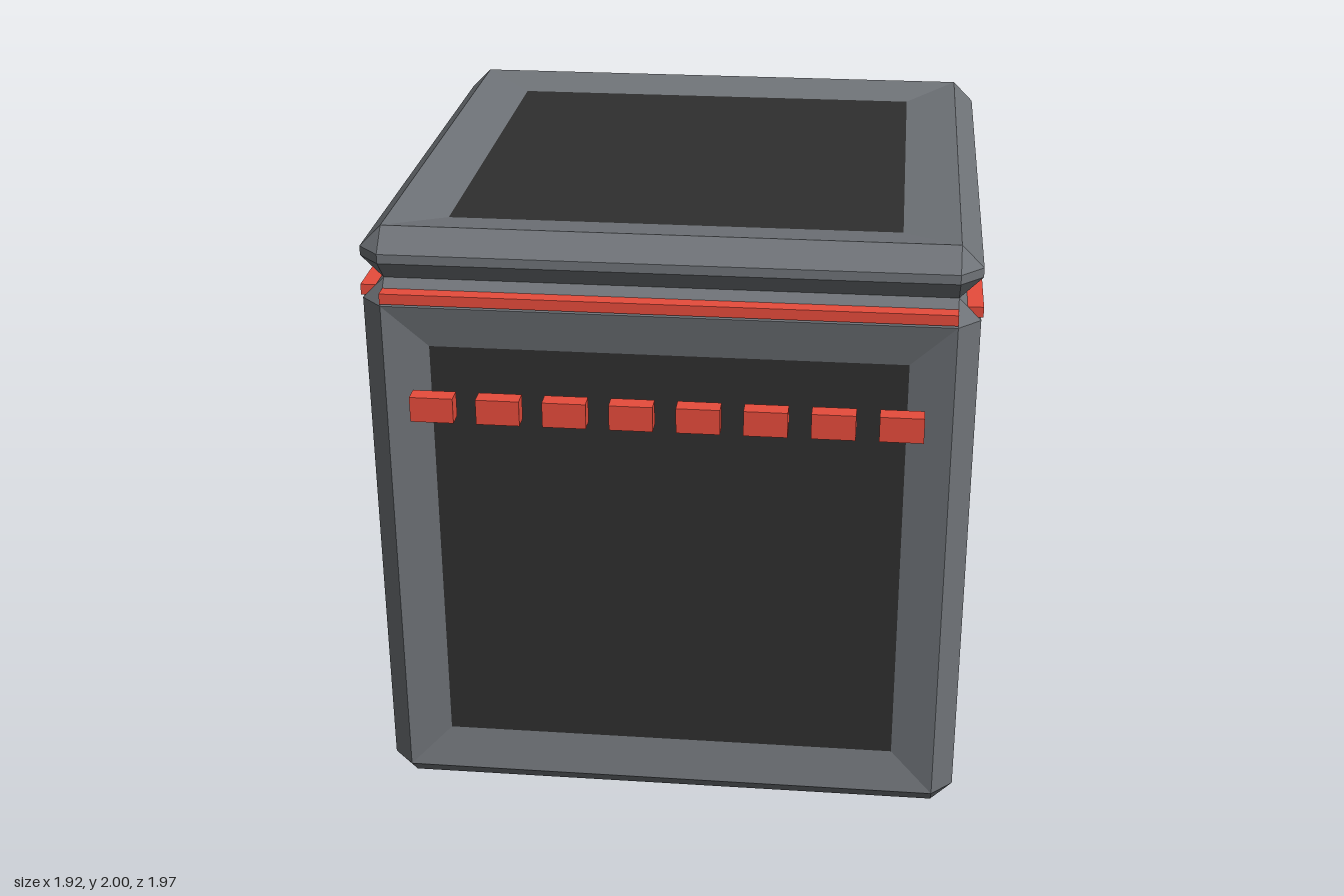
import * as THREE from 'three';

const CHAMFER = 0.07;
const RECESS = 0.03;
const AXES = ['x', 'y', 'z'];

// Orders a polygon's corners so that it faces the outward direction
function facing(poly, outward) {
  const normal = poly[1].clone().sub(poly[0]).cross(poly[2].clone().sub(poly[0]));
  return normal.dot(outward) < 0 ? [...poly].reverse() : poly;
}

// Flat-shaded geometry from convex polygons
function polygonGeometry(polygons) {
  const points = [];
  for (const p of polygons) {
    for (let i = 1; i < p.length - 1; i++) points.push(p[0], p[i], p[i + 1]);
  }
  const geometry = new THREE.BufferGeometry().setFromPoints(points);
  geometry.computeVertexNormals();
  return geometry;
}

// Chamfered box; faces listed in insets (such as '+x') get a sloped frame around a sunken panel
function chamferedBox(half, insets) {
  const frame = [], panels = [];
  // point on the face across axis, at signs s, pulled in along the other two axes
  const corner = (axis, s, inset = 0, depth = 0) => {
    const p = new THREE.Vector3();
    AXES.forEach((a, i) => {
      p[a] = s[i] * (half[a] - (i === axis ? depth : CHAMFER + inset));
    });
    return p;
  };
  const signs = (axis, value, b, c) => {
    const s = [0, 0, 0];
    s[axis] = value;
    s[(axis + 1) % 3] = b;
    s[(axis + 2) % 3] = c;
    return s;
  };
  const loop = [[-1, -1], [1, -1], [1, 1], [-1, 1]];

  for (let axis = 0; axis < 3; axis++) {
    // faces
    for (const side of [-1, 1]) {
      const outward = new THREE.Vector3(...signs(axis, side, 0, 0));
      const ring = loop.map(([b, c]) => signs(axis, side, b, c));
      const outer = ring.map((s) => corner(axis, s));
      const inset = insets[(side > 0 ? '+' : '-') + AXES[axis]];
      if (inset) {
        const inner = ring.map((s) => corner(axis, s, inset, RECESS));
        for (let i = 0; i < 4; i++) {
          const j = (i + 1) % 4;
          frame.push(facing([outer[i], outer[j], inner[j], inner[i]], outward));
        }
        panels.push(facing(inner, outward));
      } else {
        frame.push(facing(outer, outward));
      }
    }
    // chamfered edges running along this axis
    const u = (axis + 1) % 3, v = (axis + 2) % 3;
    for (const [b, c] of loop) {
      const low = signs(axis, -1, b, c), high = signs(axis, 1, b, c);
      const edge = [corner(u, low), corner(u, high), corner(v, high), corner(v, low)];
      frame.push(facing(edge, new THREE.Vector3(...signs(axis, 0, b, c))));
    }
  }
  // triangular corners
  for (const x of [-1, 1]) for (const [y, z] of loop) {
    const tip = [0, 1, 2].map((axis) => corner(axis, [x, y, z]));
    frame.push(facing(tip, new THREE.Vector3(x, y, z)));
  }
  return { frame: polygonGeometry(frame), panels: polygonGeometry(panels) };
}

export function createModel() {
  const metal = new THREE.MeshStandardMaterial({ color: 0x6f7378 });
  metal.name = 'grey metal';
  const dark = new THREE.MeshStandardMaterial({ color: 0x2f2f2f });
  dark.name = 'dark panel';
  const red = new THREE.MeshStandardMaterial({ color: 0xe74c3c });
  red.name = 'red trim';

  const model = new THREE.Group();
  model.name = 'crate';
  const add = (name, geometry, material, x, y, z) => {
    const mesh = new THREE.Mesh(geometry, material);
    mesh.name = name;
    mesh.position.set(x, y, z);
    model.add(mesh);
  };

  const halfWidth = 0.956;
  const centreZ = -0.021;

  // Body with a sunken panel on each side
  const body = chamferedBox({ x: halfWidth, y: 0.915, z: halfWidth },
    { '+x': 0.14, '-x': 0.14, '+z': 0.14, '-z': 0.14 });
  add('bodyFrame', body.frame, metal, 0, 0.915, centreZ);
  add('bodyPanels', body.panels, dark, 0, 0.915, centreZ);

  // Lid with a sunken panel on top
  const lid = chamferedBox({ x: halfWidth, y: 0.085, z: halfWidth }, { '+y': 0.175 });
  add('lidFrame', lid.frame, metal, 0, 1.915, centreZ);
  add('lidPanel', lid.panels, dark, 0, 1.915, centreZ);

  // Red strip under the lid on every side
  const reach = 0.922;
  for (const side of [-1, 1]) {
    add('trimStrip', new THREE.BoxGeometry(1.772, 0.034, 0.08), red, 0, 1.786, centreZ + side * reach);
    add('trimStrip', new THREE.BoxGeometry(0.08, 0.034, 1.772), red, side * reach, 1.786, centreZ);
  }

  // Row of red blocks across the front
  const block = new THREE.BoxGeometry(0.137, 0.083, 0.057);
  for (let i = 0; i < 8; i++) {
    add('frontBlock', block, red, (i - 3.5) * 0.209, 1.437, 0.9585);
  }
  return model;
}
